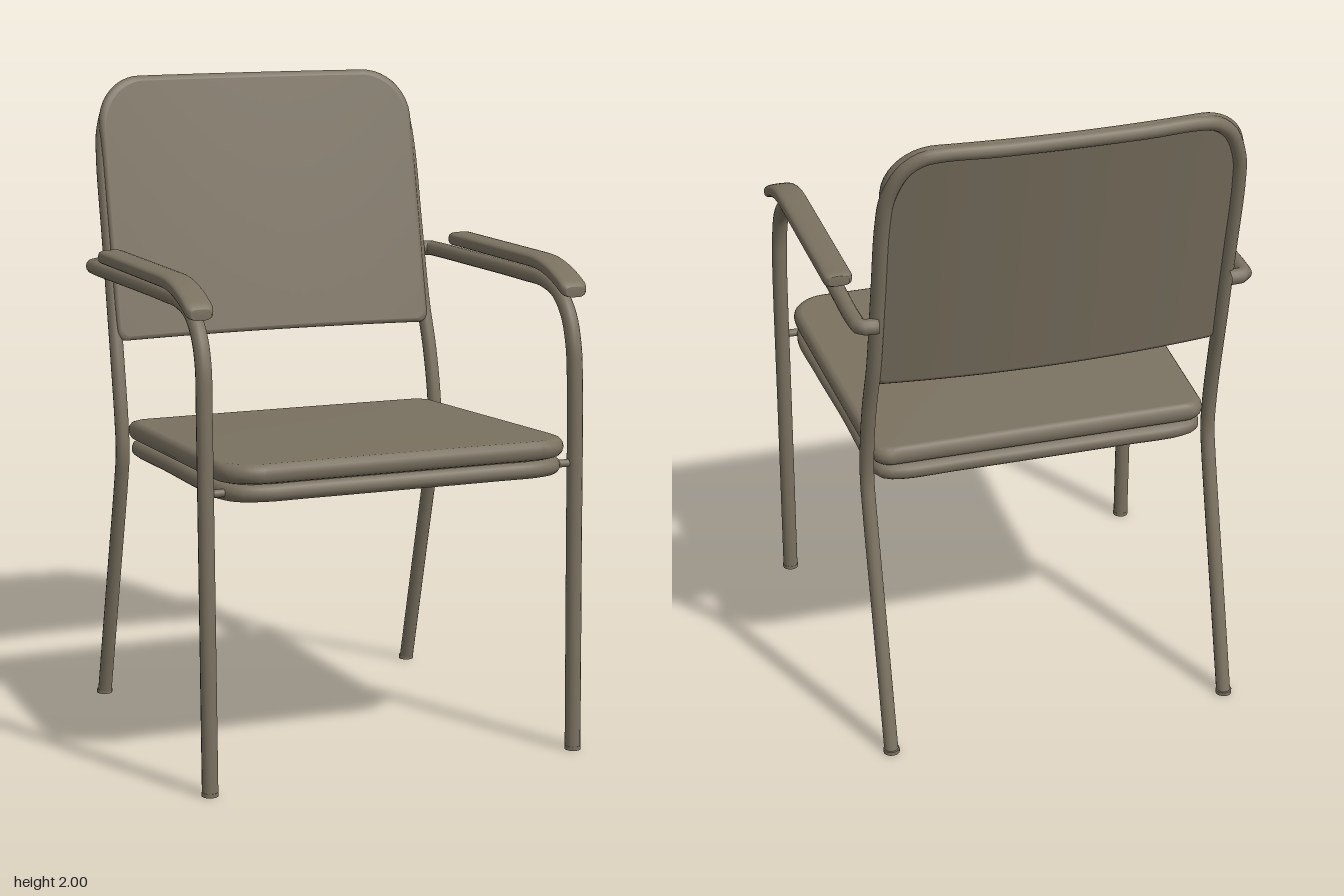
import * as THREE from 'three';
import { mergeVertices } from 'three/addons/utils/BufferGeometryUtils.js';

const taupe = new THREE.MeshStandardMaterial({ color: 0x7a7160 });
taupe.name = 'taupe';

const V = (x, y, z) => new THREE.Vector3(x, y, z);

function add(group, name, geometry) {
  const mesh = new THREE.Mesh(geometry, taupe);
  mesh.name = name;
  group.add(mesh);
  return mesh;
}

// Bent pipe, cut level with the floor
function pipe(points, radius, segments, closed = false) {
  const curve = new THREE.CatmullRomCurve3(points, closed, 'centripetal');
  const geo = new THREE.TubeGeometry(curve, segments, radius, 14, closed);
  const p = geo.attributes.position;
  for (let i = 0; i < p.count; i++) if (p.getY(i) < 0) p.setY(i, 0);
  return geo;
}

// Moves every vertex by a rule and smooths the result
function reshape(geo, rule) {
  geo.deleteAttribute('uv');
  geo.deleteAttribute('normal');
  const p = geo.attributes.position;
  for (let i = 0; i < p.count; i++) p.setXYZ(i, ...rule(p.getX(i), p.getY(i), p.getZ(i)));
  const merged = mergeVertices(geo, 1e-5);
  merged.computeVertexNormals();
  return merged;
}

// How far a rounded corner of radius r pulls in at distance d from the end
const corner = (d, r) => (d < r ? r - Math.sqrt(Math.max(0, r * r - (r - d) ** 2)) : 0);

// Padded slab: place(x, v, s, u) receives the rounded outline position
function slab({ half, low, high, rLow, rHigh, edge }, place) {
  const ease = t => Math.sin(t * Math.PI / 2);
  return reshape(new THREE.BoxGeometry(2, 2, 2, 28, 36, 6), (a, b, c) => {
    const u = ease(a), s = ease(c);
    const inset = edge * (1 - Math.sqrt(Math.max(0, 1 - s * s)));
    const lo = low + inset, hi = high - inset;
    const v = (lo + hi) / 2 + ease(b) * (hi - lo) / 2;
    const w = half(v) - inset - corner(v - lo, rLow) - corner(hi - v, rHigh);
    return place(u * w, v, s, u);
  });
}

// Lean and bow of the backrest
const backZ = (x, y) => -0.395 - 0.225 * (y - 1.2) - 0.04 * (1 - (x / 0.54) ** 2);
// Slope and plan taper of the seat
const seatDrop = z => (z - 0.64) * 0.04;
const seatHalf = z => 0.522 + 0.03 * Math.min(1, Math.max(0, (z + 0.37) / 0.85));

export function createModel() {
  const chair = new THREE.Group();
  chair.name = 'armchair';

  // Rear legs and backrest hoop in one bent pipe
  const halfHoop = [
    V(0.54, -0.01, -0.558), V(0.54, 0.4, -0.448), V(0.54, 0.76, -0.352), V(0.54, 0.84, -0.337),
    V(0.54, 0.95, -0.346), V(0.538, 1.1, -0.378),
    ...[[0.533, 1.25], [0.53, 1.5], [0.527, 1.75], [0.517, 1.84], [0.48, 1.925], [0.43, 1.965],
      [0.37, 1.976], [0.2, 1.976]].map(([x, y]) => V(x, y, backZ(x, y) - 0.014)),
  ];
  const otherHalf = halfHoop.map(p => V(-p.x, p.y, p.z)).reverse();
  add(chair, 'rearLegsAndBackFrame', pipe([...halfHoop, ...otherHalf], 0.022, 220));

  // Backrest pad
  add(chair, 'backrestPad', slab(
    { half: () => 0.535, low: 1.185, high: 2.0, rLow: 0.03, rHigh: 0.15, edge: 0.014 },
    (x, y, s) => [x, y, backZ(x, y) + s * 0.018],
  ));

  // Seat cushion with a slight crown
  add(chair, 'seatCushion', slab(
    { half: v => seatHalf(-v), low: -0.64, high: 0.37, rLow: 0.11, rHigh: 0.05, edge: 0.02 },
    (x, v, s, u) => {
      const crown = s > 0 ? 0.008 * s * (1 - u * u) * (1 - ((v + 0.135) / 0.505) ** 2) : 0;
      return [x, 0.95 + s * 0.029 + crown + seatDrop(-v), -v];
    },
  ));

  // Board under the cushion
  add(chair, 'seatBoard', slab(
    { half: v => seatHalf(-v) - 0.03, low: -0.61, high: 0.34, rLow: 0.09, rHigh: 0.04, edge: 0.004 },
    (x, v, s) => [x, 0.91 + s * 0.012 + seatDrop(-v), -v],
  ));

  // Pipe ring below the seat
  const halfRing = [[0.3, 0.612], [0.43, 0.61], [0.497, 0.58], [0.524, 0.51], [0.52, 0.3], [0.505, 0],
    [0.496, -0.28], [0.485, -0.328], [0.44, -0.346], [0.25, -0.348]];
  const ring = [...halfRing, ...halfRing.map(([x, z]) => [-x, z]).reverse()]
    .map(([x, z]) => V(x, 0.893 + seatDrop(z), z));
  add(chair, 'seatRing', pipe(ring, 0.026, 180, true));

  for (const side of [1, -1]) {
    const half = new THREE.Group();
    half.name = side > 0 ? 'leftSide' : 'rightSide';
    chair.add(half);

    // Front leg bending into the arm rail, hooked onto the rear post
    const rail = [[0.59, -0.01, 0.575], [0.59, 0.6, 0.562], [0.59, 1.15, 0.549], [0.588, 1.25, 0.54],
      [0.587, 1.33, 0.51], [0.586, 1.39, 0.45], [0.586, 1.417, 0.36], [0.586, 1.421, 0.2],
      [0.587, 1.419, -0.2], [0.587, 1.417, -0.43], [0.58, 1.417, -0.475], [0.53, 1.417, -0.482]];
    add(half, 'frontLegAndArmRail', pipe(rail.map(([x, y, z]) => V(side * x, y, z)), 0.024, 120));

    // Arm pad, drooping at the front, with rounded ends
    const pad = new THREE.CylinderGeometry(1, 1, 2, 24, 40).rotateX(Math.PI / 2);
    add(half, 'armPad', reshape(pad, (a, b, c) => {
      const t = Math.sin(c * Math.PI / 2);
      const z = 0.13 + t * 0.41;
      const soft = q => Math.sign(q) * Math.abs(q) ** 0.6;
      const end = 1 - 0.3 * Math.max(0, (Math.abs(t) - 0.95) / 0.05) ** 2;
      const droop = 0.068 * Math.max(0, (z - 0.3) / 0.24) ** 2;
      return [side * 0.593 + soft(a) * 0.043 * end, 1.472 - droop + soft(b) * 0.022 * end, z];
    }));

    // Bolt joining the seat ring to the front leg
    const bolt = add(half, 'seatBolt', new THREE.CylinderGeometry(0.012, 0.012, 0.08, 12));
    bolt.rotation.z = Math.PI / 2;
    bolt.position.set(side * 0.55, 0.89, 0.5555);

    // Floor glides
    for (const [x, z, name] of [[0.59, 0.575, 'frontGlide'], [0.54, -0.556, 'rearGlide']]) {
      add(half, name, new THREE.CylinderGeometry(0.025, 0.025, 0.012, 14)).position.set(side * x, 0.006, z);
    }
  }
  return chair;
}
